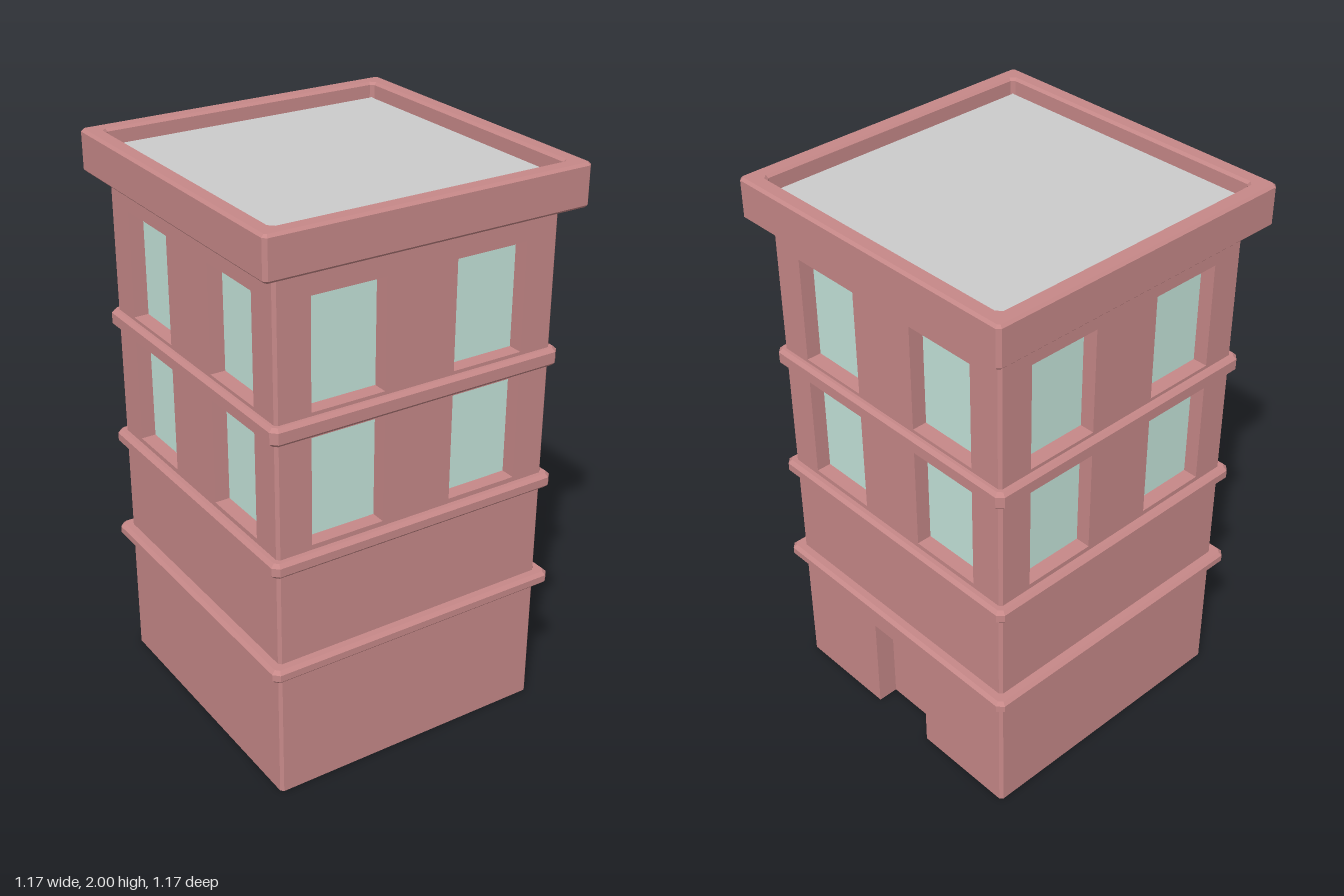
import * as THREE from 'three';

const brick = new THREE.MeshStandardMaterial({ color: 0xc68888 });
const glass = new THREE.MeshStandardMaterial({ color: 0xc4e4da });
const grey = new THREE.MeshStandardMaterial({ color: 0xcccccc });

const HALF = 0.52, CHAMFER = 0.01, THICK = 0.075, WALL_TOP = 1.9;
const WINDOW_DEPTH = 0.053, WIN_X = 0.2625, WIN_W = 0.265;
const FLOORS = [[0.925, 1.3], [1.385, 1.76]];
const DOOR_W = 0.26, DOOR_H = 0.375;

function add(parent, name, geometry, material, x = 0, y = 0, z = 0) {
  const mesh = new THREE.Mesh(geometry, material);
  mesh.name = name;
  mesh.position.set(x, y, z);
  parent.add(mesh);
  return mesh;
}

// Square outline with cut corners
function cutSquare(path, h, c) {
  const k = h - c;
  [[k, -h], [h, -k], [h, k], [k, h], [-k, h], [-h, k], [-h, -k], [-k, -h]]
    .forEach(([x, y], i) => (i ? path.lineTo(x, y) : path.moveTo(x, y)));
  path.closePath();
  return path;
}

// Square slab between y0 and y1 with bevelled edges, optionally hollow
function slab(half, y0, y1, corner, bevel, holeHalf = 0) {
  const shape = cutSquare(new THREE.Shape(), half, corner);
  if (holeHalf) shape.holes.push(cutSquare(new THREE.Path(), holeHalf, corner));
  const geometry = new THREE.ExtrudeGeometry(shape, {
    depth: y1 - y0 - 2 * bevel, bevelEnabled: true, bevelSegments: 1,
    bevelThickness: bevel, bevelSize: bevel, bevelOffset: -bevel,
  });
  return geometry.rotateX(-Math.PI / 2).translate(0, y0 + bevel, 0);
}

function rectHole(cx, w, y0, y1) {
  const p = new THREE.Path();
  p.moveTo(cx - w / 2, y0);
  p.lineTo(cx - w / 2, y1);
  p.lineTo(cx + w / 2, y1);
  p.lineTo(cx + w / 2, y0);
  p.closePath();
  return p;
}

// Wall with window openings, mitred at its ends; the door is a notch from the ground
function wallGeometry(hasDoor) {
  const w = HALF - CHAMFER, d = DOOR_W / 2;
  const shape = new THREE.Shape();
  shape.moveTo(-w, 0);
  if (hasDoor) {
    shape.lineTo(-d, 0);
    shape.lineTo(-d, DOOR_H);
    shape.lineTo(d, DOOR_H);
    shape.lineTo(d, 0);
  }
  shape.lineTo(w, 0);
  shape.lineTo(w, WALL_TOP);
  shape.lineTo(-w, WALL_TOP);
  shape.closePath();
  for (const [y0, y1] of FLOORS)
    for (const s of [-1, 1]) shape.holes.push(rectHole(s * WIN_X, WIN_W, y0, y1));
  const geometry = new THREE.ExtrudeGeometry(shape, { depth: THICK, bevelEnabled: false });
  const p = geometry.attributes.position;
  for (let i = 0; i < p.count; i++) {
    const x = p.getX(i);
    if (Math.abs(x) > w - 0.001) p.setX(i, Math.sign(x) * (w - THICK + p.getZ(i)));
  }
  geometry.translate(0, 0, HALF - THICK);
  geometry.computeVertexNormals();
  return geometry;
}

export function createModel() {
  const building = new THREE.Group();
  building.name = 'building';

  // Solid core behind the walls, also the back of the door recess
  const core = 2 * (HALF - THICK);
  add(building, 'core', new THREE.BoxGeometry(core, WALL_TOP, core), brick, 0, WALL_TOP / 2);

  // Four sides: front, left (with door), back, right
  const paneDepth = THICK - WINDOW_DEPTH;
  ['front', 'left', 'back', 'right'].forEach((name, i) => {
    const side = new THREE.Group();
    side.name = name + 'Side';
    side.rotation.y = i * Math.PI / 2;
    building.add(side);
    add(side, 'wall', wallGeometry(name === 'left'), brick);

    for (const [y0, y1] of FLOORS)
      for (const s of [-1, 1])
        add(side, 'windowPane', new THREE.BoxGeometry(WIN_W, y1 - y0, paneDepth), glass,
          s * WIN_X, (y0 + y1) / 2, HALF - WINDOW_DEPTH - paneDepth / 2);

    // Narrow chamfer closing the corner between two walls
    const q = HALF - CHAMFER / 2 - 0.02 / Math.SQRT2 / 2;
    const strip = add(side, 'cornerChamfer',
      new THREE.BoxGeometry(CHAMFER * Math.SQRT2, WALL_TOP, 0.02), brick, q, WALL_TOP / 2, q);
    strip.rotation.y = Math.PI / 4;
  });

  // Trim bands around the building
  for (const [half, y0, y1] of [[0.558, 0.47, 0.518], [0.548, 0.855, 0.908], [0.543, 1.31, 1.373]])
    add(building, 'trimBand', slab(half, y0, y1, 0.02, 0.012), brick);

  // Parapet ring and sunken roof
  add(building, 'parapet', slab(0.585, 1.855, 2, 0.012, 0.009, 0.525), brick);
  add(building, 'roof', slab(0.526, 1.88, 1.95, 0.005, 0.015), grey);

  return building;
}
